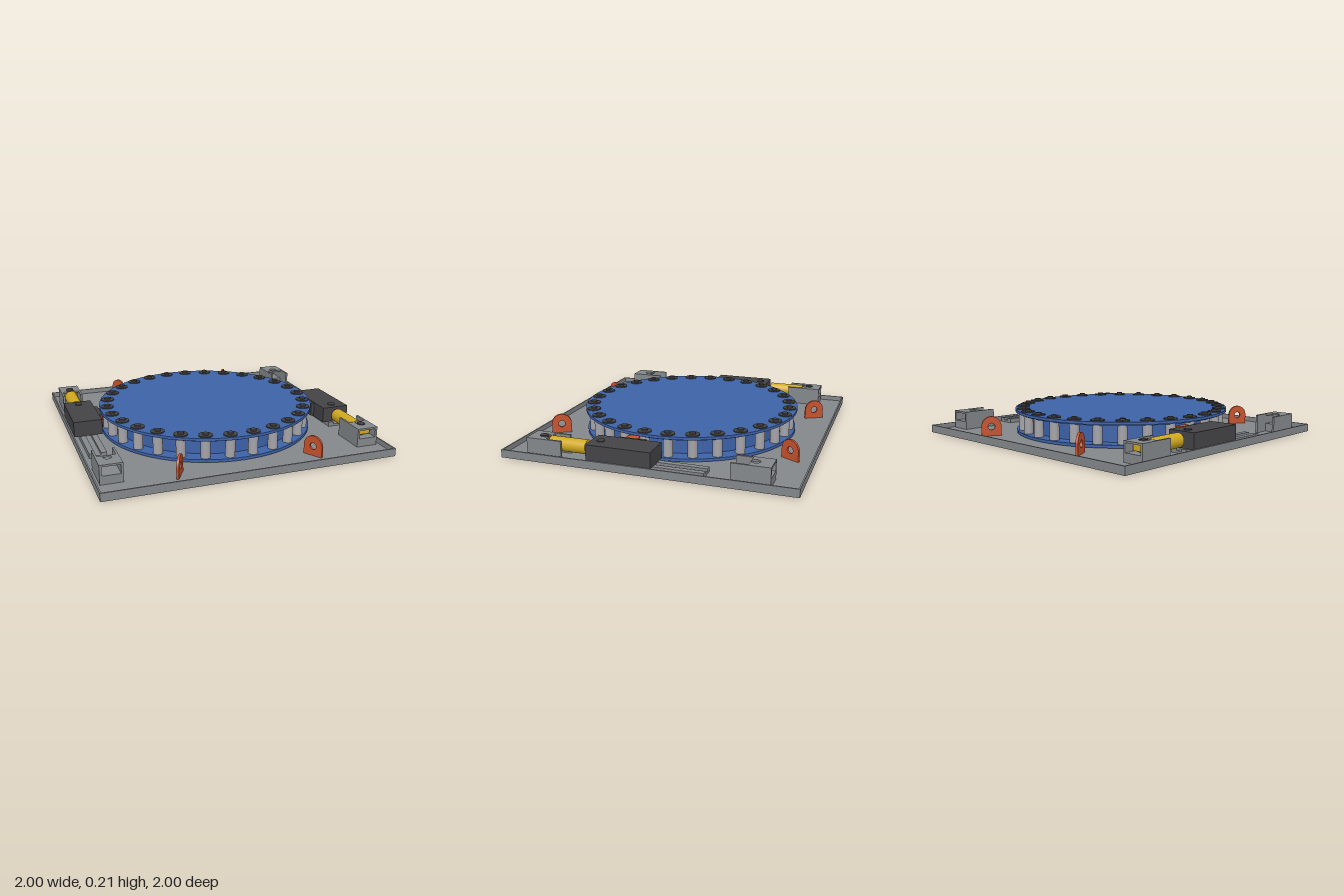
import * as THREE from 'three';
import { toCreasedNormals } from 'three/addons/utils/BufferGeometryUtils.js';

const mat = (name, color) => Object.assign(new THREE.MeshStandardMaterial({ color }), { name });

export function createModel() {
  const steel = mat('plate grey', 0x84888b);
  const blue = mat('drum blue', 0x3d62a8);
  const dark = mat('dark steel', 0x444447);
  const pale = mat('pin grey', 0xa3a3a9);
  const yellow = mat('cylinder yellow', 0xd0a820);
  const orange = mat('lug orange', 0xc6522e);

  const add = (parent, name, geo, material, x = 0, y = 0, z = 0) => {
    const m = new THREE.Mesh(geo, material);
    m.name = name;
    m.position.set(x, y, z);
    parent.add(m);
    return m;
  };
  // Box given by its limits on each axis
  const box = (parent, name, material, [x0, x1], [y0, y1], [z0, z1]) =>
    add(parent, name, new THREE.BoxGeometry(x1 - x0, y1 - y0, z1 - z0), material,
      (x0 + x1) / 2, (y0 + y1) / 2, (z0 + z1) / 2);
  // Upright cylinder from y0 to y1
  const post = (parent, name, material, r, y0, y1, x, z) =>
    add(parent, name, new THREE.CylinderGeometry(r, r, y1 - y0, 24), material, x, (y0 + y1) / 2, z);
  const rect = (w, h) => new THREE.Shape([[-w, -h], [w, -h], [w, h], [-w, h]]
    .map(([x, y]) => new THREE.Vector2(x / 2, y / 2)));
  const circle = (r, x = 0, y = 0) => new THREE.Path().absarc(x, y, r, 0, Math.PI * 2, true);
  const extrude = (shape, depth) =>
    new THREE.ExtrudeGeometry(shape, { depth, bevelEnabled: false, curveSegments: 24 });
  const extrudeUp = (shape, depth) => extrude(shape, depth).rotateX(-Math.PI / 2);

  const model = new THREE.Group();
  model.name = 'turntable';

  // Shallow tray: floor with a centre hole, and a thin rim
  const floor = rect(1.99, 1.99);
  floor.holes.push(circle(0.04));
  add(model, 'trayFloor', extrudeUp(floor, 0.02), steel);
  const rim = rect(2, 2);
  rim.holes.push(rect(1.98, 1.98));
  add(model, 'trayRim', extrudeUp(rim, 0.055), steel);

  // Spool-shaped drum
  const profile = [[0, 0.025], [0.77, 0.025], [0.77, 0.045], [0.67, 0.045], [0.67, 0.168], [0.76, 0.168],
    [0.76, 0.177], [0.78, 0.177], [0.78, 0.196], [0, 0.196]].map(([x, y]) => new THREE.Vector2(x, y));
  add(model, 'drum', toCreasedNormals(new THREE.LatheGeometry(profile, 96), 0.5), blue);

  // Ring of pins with washers and studs
  const pins = 28;
  for (let i = 0; i < pins; i++) {
    const a = (i + 0.5) / pins * Math.PI * 2;
    const x = 0.725 * Math.cos(a), z = 0.725 * Math.sin(a);
    post(model, 'drumPin', pale, 0.033, 0.045, 0.168, x, z);
    post(model, 'pinWasher', dark, 0.047, 0.195, 0.203, x, z);
    post(model, 'pinStud', dark, 0.021, 0.2, 0.214, x, z);
  }

  // Lifting lugs, set radially near the corners
  const lug = new THREE.Shape();
  lug.moveTo(-0.07, 0);
  lug.lineTo(0.07, 0);
  lug.lineTo(0.07, 0.068);
  lug.absarc(0, 0.068, 0.07, 0, Math.PI, false);
  lug.lineTo(-0.07, 0);
  lug.holes.push(circle(0.024, 0, 0.066));
  const lugGeo = extrude(lug, 0.016).translate(0, 0, -0.008);
  for (const deg of [61, 119, 241, 299]) {
    const a = THREE.MathUtils.degToRad(deg);
    add(model, 'liftingLug', lugGeo, orange, 0.96 * Math.cos(a), 0.02, 0.96 * Math.sin(a)).rotation.y = -a;
  }

  // Cylinder bracket: windowed block with two cheeks, roof bored for a pin
  const makeBracket = () => {
    const g = new THREE.Group();
    g.name = 'cylinderBracket';
    for (const s of [-1, 1]) box(g, 'bracketCheek', steel, s < 0 ? [-0.075, -0.06] : [0.06, 0.075], [0.02, 0.15], [-0.125, 0.125]);
    box(g, 'bracketBase', steel, [-0.06, 0.06], [0.02, 0.078], [-0.015, 0.125]);
    const roof = rect(0.12, 0.14);
    roof.holes.push(circle(0.028, 0, 0.04));
    add(g, 'bracketRoof', extrudeUp(roof, 0.013), steel, 0, 0.137, 0.055);
    return g;
  };

  // One side of the locking gear; the other is the same turned half round
  const makeSide = () => {
    const g = new THREE.Group();
    g.name = 'lockingGear';
    const X = 0.89, Y = 0.106;
    const front = makeBracket(), back = makeBracket();
    front.position.set(X, 0, 0.695);
    back.position.set(X, 0, -0.695);
    back.rotation.y = Math.PI;
    g.add(front, back);

    // Slide rails
    box(g, 'railBed', steel, [0.83, 0.95], [0.02, 0.035], [-0.4, 0.4]);
    for (const x of [0.83, 0.91]) box(g, 'slideRail', steel, [x, x + 0.04], [0.035, 0.052], [-0.4, 0.4]);

    // Sliding block with its locking tongue
    box(g, 'slideBlock', dark, [0.79, 0.99], [0.052, 0.16], [-0.065, 0.38]);
    box(g, 'tongueHolder', dark, [0.765, 0.79], [0.06, 0.155], [0.05, 0.24]);
    box(g, 'lockingTongue', orange, [0.7, 0.766], [0.066, 0.15], [0.12, 0.202]);
    post(g, 'blockPin', dark, 0.027, 0.15, 0.166, X, 0.315);

    // Hydraulic cylinder, its rod, tail and pin
    const tube = (name, r, z0, z1) => {
      const geo = new THREE.CylinderGeometry(r, r, z1 - z0, 32).rotateX(Math.PI / 2);
      add(g, name, geo, yellow, X, Y, (z0 + z1) / 2);
    };
    tube('cylinderBody', 0.048, 0.41, 0.675);
    tube('cylinderRod', 0.022, 0.37, 0.42);
    box(g, 'cylinderTail', yellow, [X - 0.05, X + 0.05], [0.085, 0.13], [0.67, 0.765]);
    post(g, 'cylinderPin', dark, 0.027, 0.06, 0.156, X, 0.73);
    return g;
  };
  const other = makeSide();
  other.rotation.y = Math.PI;
  model.add(makeSide(), other);
  return model;
}
